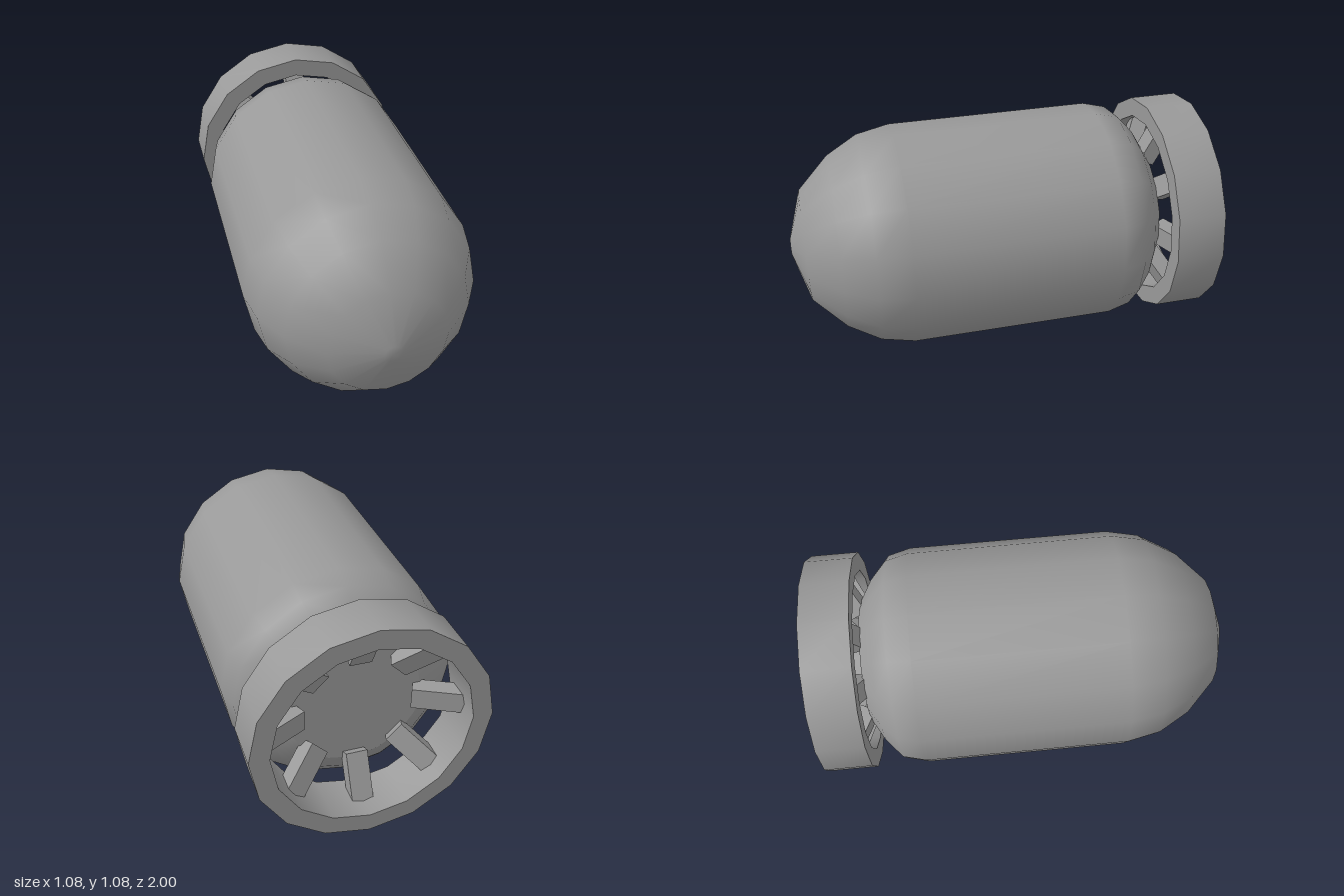
import * as THREE from 'three';
import { toCreasedNormals } from 'three/addons/utils/BufferGeometryUtils.js';

const SIDES = 16;
const CENTER_Y = 0.54;

// Revolve [radius, z] points, listed from back to front, around the z axis.
function revolve(profile) {
  const points = profile.map(([r, z]) => new THREE.Vector2(r, z));
  return new THREE.LatheGeometry(points, SIDES).rotateX(Math.PI / 2);
}

export function createModel() {
  const model = new THREE.Group();
  model.name = 'finnedBomb';
  const grey = new THREE.MeshStandardMaterial({ color: 0x999999 });
  grey.name = 'grey metal';

  const add = (name, geometry, parent = model) => {
    const mesh = new THREE.Mesh(geometry, grey);
    mesh.name = name;
    parent.add(mesh);
    return mesh;
  };

  // Smooth casing with a blunt nose
  add('casing', revolve([
    [0.31, -0.765], [0.42, -0.7], [0.51, -0.62], [0.538, -0.51],
    [0.538, 0.47], [0.505, 0.63], [0.42, 0.78], [0.27, 0.93], [0.04, 1], [0, 1],
  ])).position.y = CENTER_Y;

  // Flat rear end of the casing
  const rear = new THREE.CircleGeometry(0.31, SIDES).rotateY(Math.PI);
  add('rearPlate', rear).position.set(0, CENTER_Y, -0.765);

  // Open tail ring with sharp rims
  const ring = revolve([
    [0.54, -1], [0.54, -0.77], [0.45, -0.77], [0.45, -1], [0.54, -1],
  ]);
  add('tailRing', toCreasedNormals(ring, 0.6)).position.y = CENTER_Y;

  // Eight struts slanting back from the casing to the ring
  const struts = new THREE.Group();
  struts.name = 'struts';
  struts.position.y = CENTER_Y;
  model.add(struts);
  const strut = new THREE.BoxGeometry(0.1, 0.23, 0.08)
    .rotateX(-Math.atan(0.5))
    .translate(0, 0.365, -0.825);
  for (let i = 0; i < 8; i++) {
    add('strut', strut, struts).rotation.z = (i * Math.PI) / 4;
  }

  return model;
}
